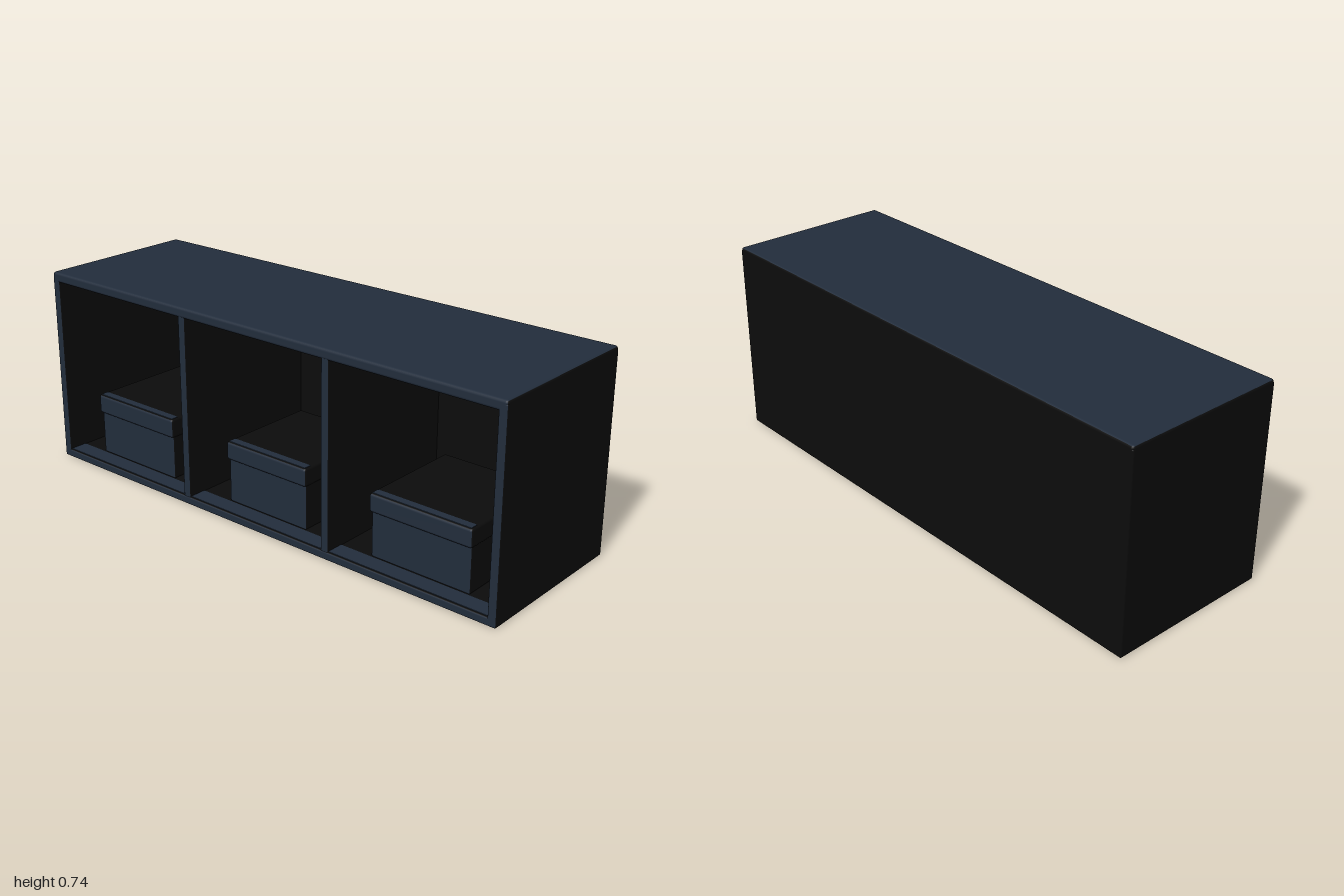
import * as THREE from 'three';
import { RoundedBoxGeometry } from 'three/addons/geometries/RoundedBoxGeometry.js';

const navy = new THREE.MeshStandardMaterial({ color: 0x222d3c });
navy.name = 'navy';
const black = new THREE.MeshStandardMaterial({ color: 0x0c0c0c });
black.name = 'black';

// Face order: +x, -x, +y, -y, +z, -z
const frontNavy = [black, black, black, black, navy, black];
const topAndFrontNavy = [black, black, navy, black, navy, black];

// Rounded block given by its two extreme corners
function block(parent, name, [x0, y0, z0], [x1, y1, z1], materials, radius = 0.006) {
  const geometry = new RoundedBoxGeometry(x1 - x0, y1 - y0, z1 - z0, 2, radius);
  const mesh = new THREE.Mesh(geometry, materials);
  mesh.name = name;
  mesh.position.set((x0 + x1) / 2, (y0 + y1) / 2, (z0 + z1) / 2);
  parent.add(mesh);
  return mesh;
}

export function createModel() {
  const model = new THREE.Group();
  model.name = 'cubbyShelf';
  const H = 0.74, D = 0.315, floor = 0.03, ceiling = 0.702;

  // Carcass
  block(model, 'topBoard', [-1, ceiling, -D], [1, H, D], topAndFrontNavy, 0.01);
  block(model, 'bottomBoard', [-1, 0, -D], [1, floor, D], frontNavy);
  block(model, 'rightSide', [-1, 0.01, -D], [-0.968, H - 0.01, D], frontNavy);
  block(model, 'leftSide', [0.968, 0.01, -D], [1, H - 0.01, D], frontNavy);
  block(model, 'backPanel', [-0.99, 0.01, -D], [0.99, H - 0.012, -D + 0.025], black);

  // Upright dividers
  for (const x of [-0.325, 0.32]) {
    block(model, 'divider', [x - 0.016, 0.015, -D + 0.01], [x + 0.016, H - 0.02, D - 0.002], frontNavy);
  }

  // Painted front strip on the floor of each compartment
  for (const [x0, x1] of [[-0.968, -0.341], [-0.309, 0.304], [0.336, 0.968]]) {
    const strip = new THREE.Mesh(new THREE.BoxGeometry(x1 - x0, 0.003, 0.065), navy);
    strip.name = 'floorStrip';
    strip.position.set((x0 + x1) / 2, floor + 0.0005, D - 0.04);
    model.add(strip);
  }

  // Lidded storage boxes: [x min, x max, back z, top y]
  for (const [x0, x1, back, top] of [
    [-0.86, -0.46, -0.18, 0.267],
    [-0.186, 0.182, -0.15, 0.262],
    [0.455, 0.857, -0.17, 0.262],
  ]) {
    const box = new THREE.Group();
    box.name = 'storageBox';
    block(box, 'boxBody', [x0 + 0.005, floor, back + 0.01], [x1 - 0.005, 0.2, 0.238], frontNavy);
    block(box, 'boxLid', [x0, 0.194, back], [x1, top, 0.248], frontNavy, 0.01);
    // Painted front edge on the lid
    const edge = new THREE.Mesh(new THREE.BoxGeometry(x1 - x0 - 0.016, 0.003, 0.03), navy);
    edge.name = 'lidEdge';
    edge.position.set((x0 + x1) / 2, top, 0.226);
    box.add(edge);
    model.add(box);
  }
  return model;
}
